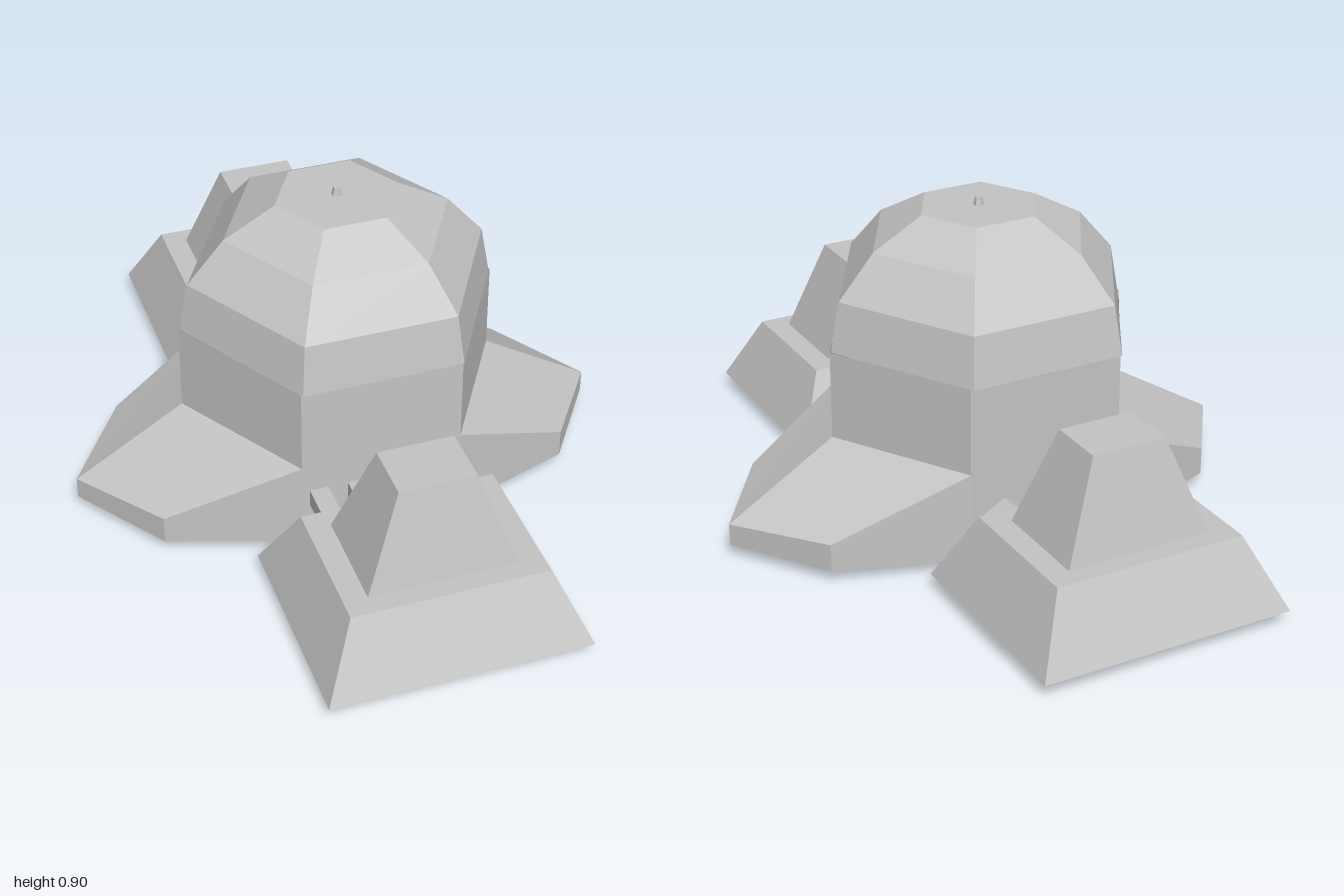
import * as THREE from 'three';

const shell = new THREE.MeshStandardMaterial({ color: 0xc4c4c4, side: THREE.DoubleSide, flatShading: true });
shell.name = 'pale grey shell';

// Faceted geometry from a list of flat polygons, each fanned into triangles
function facets(polygons) {
  const pos = [];
  for (const p of polygons) {
    for (let i = 1; i < p.length - 1; i++) pos.push(...p[0], ...p[i], ...p[i + 1]);
  }
  const geo = new THREE.BufferGeometry();
  geo.setAttribute('position', new THREE.Float32BufferAttribute(pos, 3));
  geo.computeVertexNormals();
  return geo;
}

// Skin stacked rings from bottom to top; the top may be capped, the bottom stays open
function loft(rings, cap) {
  const polys = [];
  for (let r = 0; r < rings.length - 1; r++) {
    const a = rings[r], b = rings[r + 1];
    a.forEach((p, i) => {
      const j = (i + 1) % a.length;
      polys.push([p, a[j], b[j], b[i]]);
    });
  }
  if (cap) polys.push(rings[rings.length - 1]);
  return facets(polys);
}

// Hexagon with corners on the x axis: x radius and half depth
const hexRing = (y, rx, d = rx * 0.866) =>
  [[rx, y, 0], [rx / 2, y, -d], [-rx / 2, y, -d], [-rx, y, 0], [-rx / 2, y, d], [rx / 2, y, d]];

const rectRing = (y, hx, hz) => [[hx, y, hz], [hx, y, -hz], [-hx, y, -hz], [-hx, y, hz]];

function add(parent, name, geo, x = 0, y = 0, z = 0) {
  const mesh = new THREE.Mesh(geo, shell);
  mesh.name = name;
  mesh.position.set(x, y, z);
  parent.add(mesh);
  return mesh;
}

// Sloping side buttress, open underneath
function buttressGeometry() {
  const A = [0.225, 0.285, 0.375], B = [0.45, 0.285, 0], C = [0.76, 0.097, 0], D = [0.58, 0.115, 0.26];
  const back = ([x, y, z]) => [x, y, -z];
  const low = ([x, , z]) => [x, 0.035, z];
  const rim = [A, D, C, back(D), back(A)];
  const polys = [[A, D, C, B], [B, C, back(D), back(A)]];
  for (let i = 0; i < rim.length - 1; i++) {
    polys.push([low(rim[i]), low(rim[i + 1]), rim[i + 1], rim[i]]);
  }
  return facets(polys);
}

export function createModel() {
  const model = new THREE.Group();
  model.name = 'domedOutpost';

  // Six-sided hall and its stepped dome
  add(model, 'hallWalls', loft([hexRing(0.035, 0.45, 0.375), hexRing(0.535, 0.45, 0.375)], false));
  add(model, 'dome', loft([
    hexRing(0.535, 0.446), hexRing(0.675, 0.42), hexRing(0.795, 0.317), hexRing(0.875, 0.173),
  ], true));
  add(model, 'domeKnob', new THREE.CylinderGeometry(0.01, 0.016, 0.025, 6), 0, 0.885, 0);

  // Side buttresses
  const buttress = buttressGeometry();
  add(model, 'leftButtress', buttress);
  add(model, 'rightButtress', buttress).rotation.y = Math.PI;

  // Front and back outbuildings with their connecting ducts
  const base = loft([rectRing(0.04, 0.36, 0.3), rectRing(0.235, 0.27, 0.2)], true);
  const tower = loft([rectRing(0.235, 0.205, 0.145), rectRing(0.5, 0.105, 0.082)], true);
  const duct = new THREE.BoxGeometry(0.052, 0.05, 0.12);
  const tunnel = new THREE.CylinderGeometry(0.075, 0.075, 0.12, 6);
  tunnel.rotateX(Math.PI / 2);
  for (const [side, s] of [['front', 1], ['back', -1]]) {
    const wing = new THREE.Group();
    wing.name = side + 'Outbuilding';
    add(wing, 'slopedBase', base, 0, 0, 0.7 * s);
    add(wing, 'tower', tower, 0, 0, 0.7 * s);
    add(wing, 'outerDuct', duct, -0.177, 0.18, 0.43 * s);
    add(wing, 'innerDuct', duct, -0.07, 0.18, 0.43 * s);
    add(wing, 'tunnel', tunnel, 0.125, 0.12, 0.43 * s);
    model.add(wing);
  }

  // Small post and fittings beneath the hall
  const core = new THREE.Group();
  core.name = 'underCore';
  add(core, 'post', new THREE.CylinderGeometry(0.06, 0.06, 0.24, 6), 0, 0.12, -0.065);
  add(core, 'leftFitting', new THREE.BoxGeometry(0.06, 0.1, 0.05), 0.085, 0.05, -0.03);
  add(core, 'rightFitting', new THREE.BoxGeometry(0.06, 0.1, 0.05), -0.085, 0.05, -0.03);
  add(core, 'frontFitting', new THREE.BoxGeometry(0.07, 0.1, 0.08), 0, 0.05, 0.035);
  model.add(core);

  return model;
}
